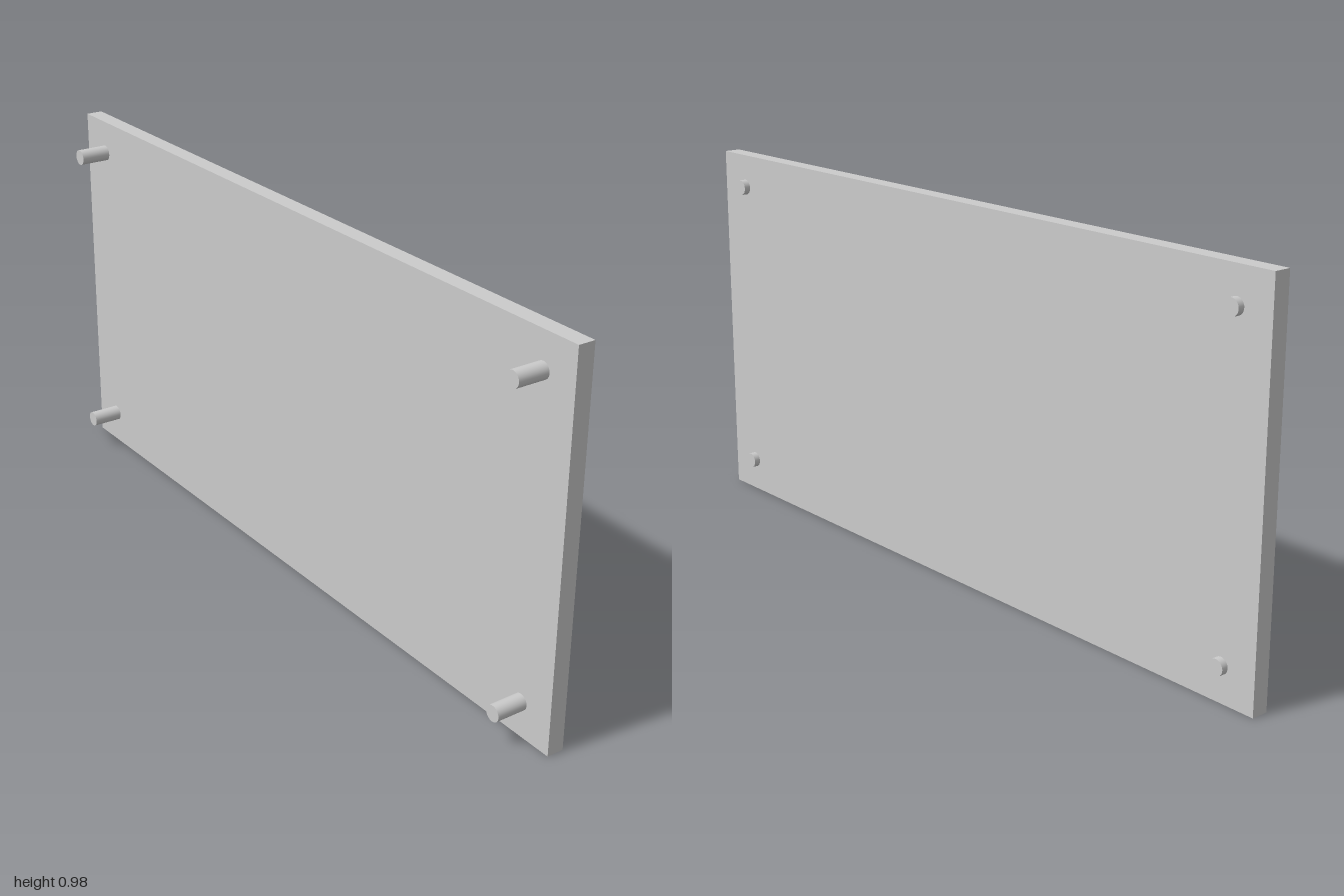
import * as THREE from 'three';

export function createModel() {
  const model = new THREE.Group();
  const material = new THREE.MeshStandardMaterial({ color: 0xcccccc });

  // Upright flat panel, thin along x
  const height = 0.978, x0 = 0.01, x1 = 0.054;
  const panel = new THREE.Mesh(new THREE.BoxGeometry(x1 - x0, height, 2), material);
  panel.name = 'panel';
  panel.position.set((x0 + x1) / 2, height / 2, 0);
  model.add(panel);

  // Four standoff pins passing through the corners
  const pinGeometry = new THREE.CylinderGeometry(0.0205, 0.0205, 0.142, 32).rotateZ(Math.PI / 2);
  for (const [vertical, sy] of [['lower', -1], ['upper', 1]]) {
    for (const [end, sz] of [['Back', -1], ['Front', 1]]) {
      const pin = new THREE.Mesh(pinGeometry, material);
      pin.name = `${vertical}${end}Pin`;
      pin.position.set(0, height / 2 + sy * 0.4, sz * 0.903);
      model.add(pin);
    }
  }
  return model;
}
